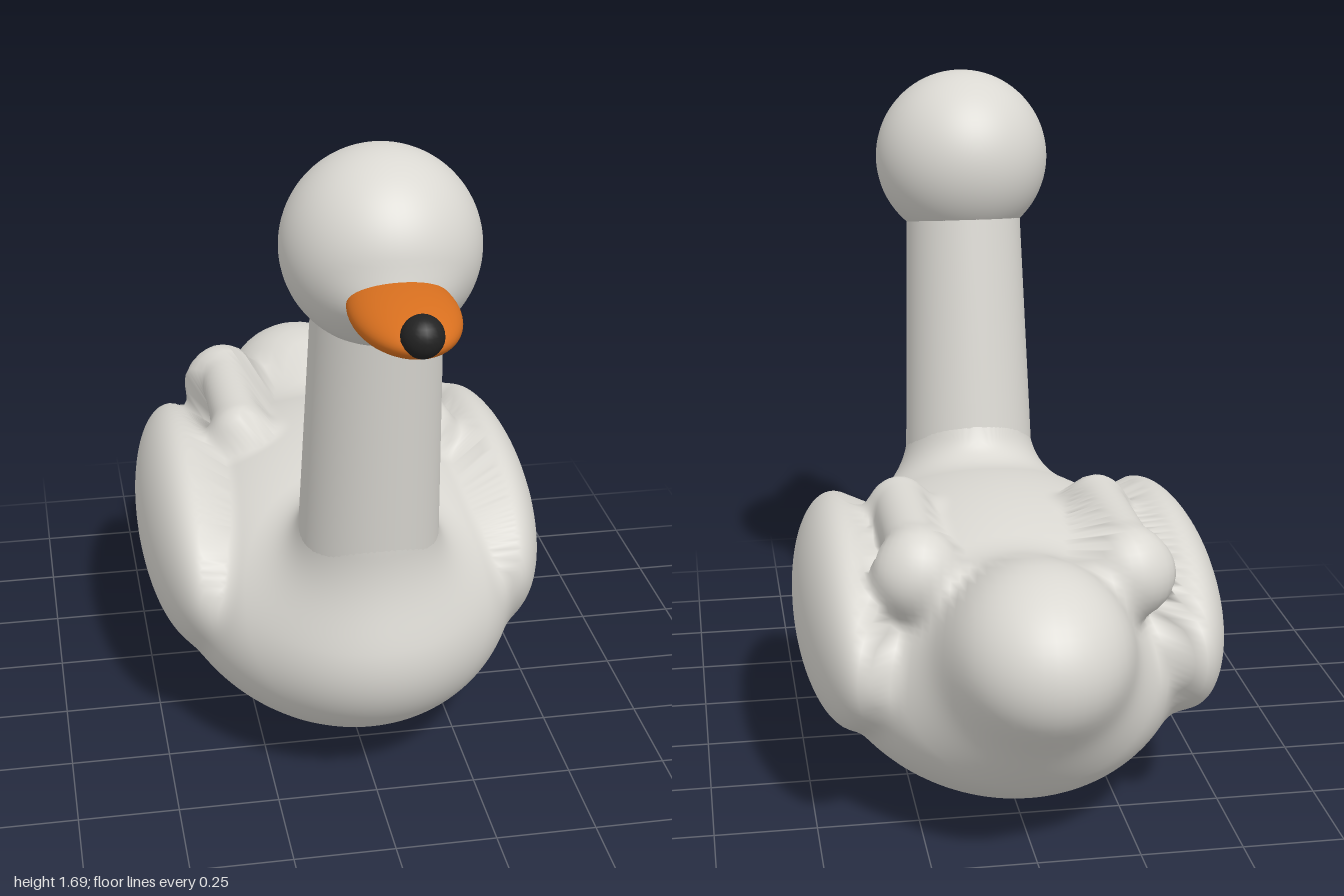
import * as THREE from 'three';

const V = (x, y, z) => new THREE.Vector3(x, y, z);

// Distance helpers for soft, blended forms
const ellipsoid = (p, x, y, z, rx, ry, rz) => {
  const a = (p.x - x) / rx, b = (p.y - y) / ry, c = (p.z - z) / rz;
  const k0 = Math.hypot(a, b, c), k1 = Math.hypot(a / rx, b / ry, c / rz);
  return k1 < 1e-6 ? -Math.min(rx, ry, rz) : k0 * (k0 - 1) / k1;
};
const capsule = (p, a, b, r) => {
  const dx = b.x - a.x, dy = b.y - a.y, dz = b.z - a.z;
  const ex = p.x - a.x, ey = p.y - a.y, ez = p.z - a.z;
  const t = THREE.MathUtils.clamp((ex * dx + ey * dy + ez * dz) / (dx * dx + dy * dy + dz * dz), 0, 1);
  return Math.hypot(ex - dx * t, ey - dy * t, ez - dz * t) - r;
};
const blend = (a, b, k) => {
  const h = Math.max(k - Math.abs(a - b), 0) / k;
  return Math.min(a, b) - h * h * k / 4;
};

// Shrink-wraps a sphere onto a blended form, with smooth normals
function wrap(field, center, reach, w, h) {
  const g = new THREE.SphereGeometry(1, w, h);
  const pos = g.attributes.position, nor = g.attributes.normal;
  const dir = V(), p = V(), q = V(), n = V(), e = 0.004;
  for (let i = 0; i < pos.count; i++) {
    dir.fromBufferAttribute(pos, i).normalize();
    let t = reach;
    for (let s = 0; s < 120 && t > 0; s++) {
      const d = field(p.copy(center).addScaledVector(dir, t));
      if (d < 0.0005) break;
      t -= d * 0.7;
    }
    pos.setXYZ(i, p.x, p.y, p.z);
    for (const axis of ['x', 'y', 'z']) {
      q.copy(p)[axis] += e;
      const ahead = field(q);
      q[axis] -= 2 * e;
      n[axis] = ahead - field(q);
    }
    n.normalize();
    nor.setXYZ(i, n.x, n.y, n.z);
  }
  return g;
}

// Folded feather ridges on the back: x, rear z, front z
const ridges = [[0.25, -0.53, -0.15], [-0.24, -0.6, -0.21]]
  .map(([x, z0, z1]) => ({ x, z0, z1, a: V(x, 0.7, z0), b: V(x, 0.7, z1) }));
const neckLow = V(0, 0.45, 0.36), neckStub = V(0, 0.74, 0.376);

function bodyField(p) {
  let d = ellipsoid(p, 0, 0.36, -0.13, 0.47, 0.36, 0.7);
  d = blend(d, ellipsoid(p, 0, 0.545, -0.75, 0.215, 0.205, 0.25), 0.14); // tail
  d = blend(d, ellipsoid(p, Math.sign(p.x || 1) * 0.4, 0.455, -0.2, 0.125, 0.25, 0.5), 0.05); // wings
  d = blend(d, capsule(p, neckLow, neckStub, 0.165), 0.14); // neck root
  for (const r of ridges) {
    let f = capsule(p, r.a, r.b, 0.068);
    f = blend(f, ellipsoid(p, r.x, 0.66, r.z0, 0.11, 0.105, 0.1), 0.03);
    f = blend(f, ellipsoid(p, r.x, 0.66, r.z1, 0.09, 0.085, 0.08), 0.03);
    d = blend(d, f, 0.05);
  }
  return d;
}

// Head with a soft collar where the bill begins
const headField = p => blend(
  ellipsoid(p, 0, 1.457, 0.49, 0.23, 0.23, 0.23),
  ellipsoid(p, 0, 1.398, 0.62, 0.115, 0.06, 0.1), 0.06);

export function createModel() {
  const model = new THREE.Group();
  model.name = 'swan';
  const material = (name, color) => {
    const m = new THREE.MeshStandardMaterial({ color });
    m.name = name;
    return m;
  };
  const white = material('plumage white', 0xdad8d2);
  const orange = material('bill orange', 0xd9701f);
  const black = material('knob black', 0x222222);
  const add = (name, geometry, mat) => {
    const mesh = new THREE.Mesh(geometry, mat);
    mesh.name = name;
    model.add(mesh);
    return mesh;
  };

  add('body', wrap(bodyField, V(0, 0.42, 0.1), 1.5, 224, 144), white);
  add('head', wrap(headField, V(0, 1.457, 0.49), 0.5, 64, 48), white);

  // Tapered neck leaning forward
  const neck = new THREE.CylinderGeometry(0.15, 0.173, 0.75, 64, 12, true);
  neck.applyMatrix4(new THREE.Matrix4().set(
    1, 0, 0, 0,
    0, 1, 0, 1.025,
    0, 0.145, 1, 0.415,
    0, 0, 0, 1));
  add('neck', neck, white);

  // Flattened bill
  const bill = add('bill', new THREE.SphereGeometry(1, 48, 32), orange);
  bill.scale.set(0.12, 0.057, 0.22);
  bill.position.set(0, 1.398, 0.76);

  const knob = add('billTip', new THREE.SphereGeometry(0.047, 20, 14), black);
  knob.position.set(0, 1.422, 0.953);

  return model;
}
